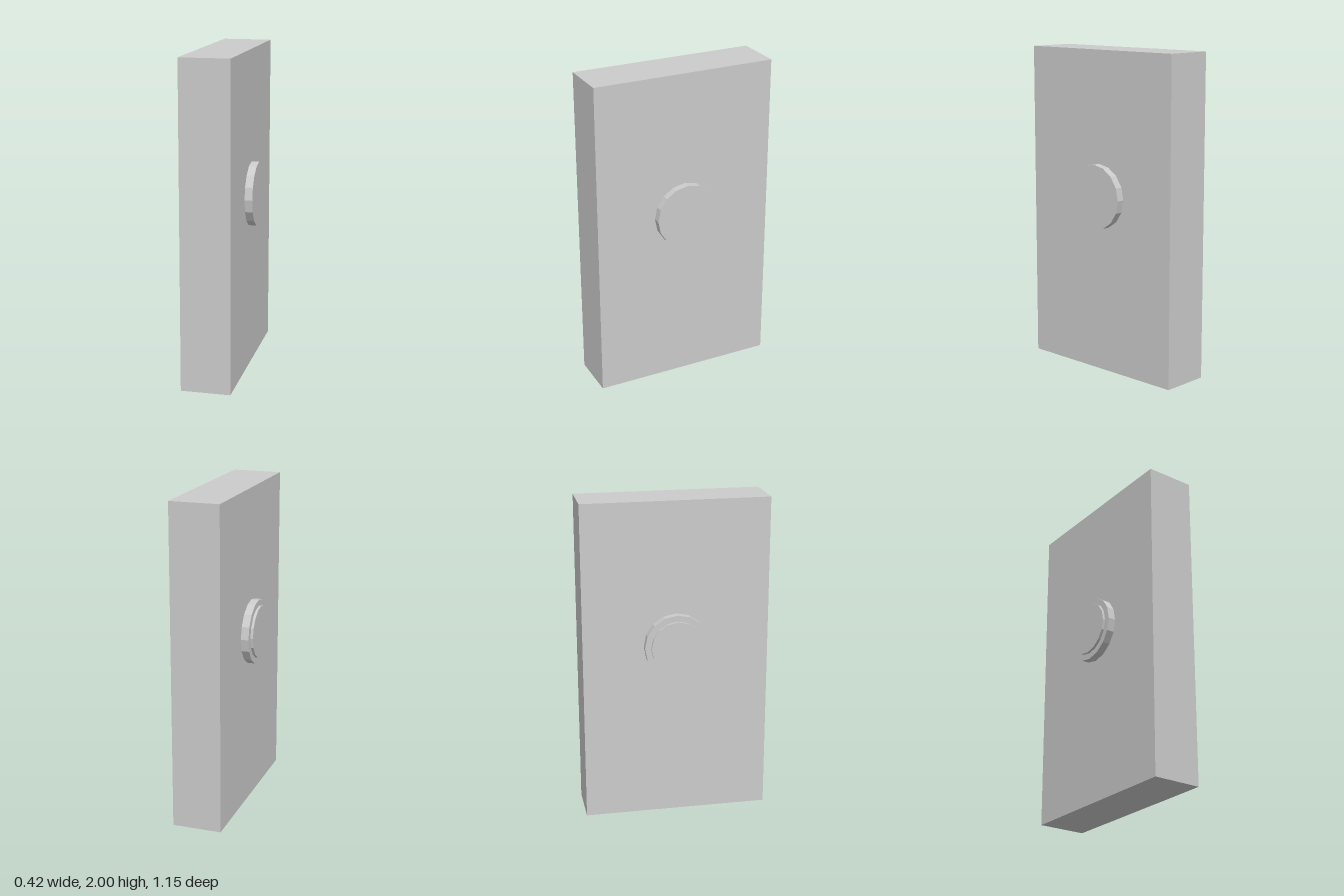
import * as THREE from 'three';

const HUB_Y = 1.107;

export function createModel() {
  const model = new THREE.Group();
  const material = new THREE.MeshStandardMaterial({ color: 0xcccccc, flatShading: true });

  function addPart(name, geometry, x, y) {
    const mesh = new THREE.Mesh(geometry, material);
    mesh.name = name;
    mesh.position.set(x, y, 0);
    model.add(mesh);
  }

  // 16-sided disc lying along the x axis, spanning x0 to x1
  function addDisc(name, radius, x0, x1) {
    const geometry = new THREE.CylinderGeometry(radius, radius, x1 - x0, 16);
    geometry.rotateZ(Math.PI / 2);
    addPart(name, geometry, (x0 + x1) / 2, HUB_Y);
  }

  // Upright slab
  addPart('slab', new THREE.BoxGeometry(0.306, 2, 1.15), 0.007, 1);

  // Round boss on each face, with a smaller raised cap on the right one
  addDisc('leftBoss', 0.201, 0.16, 0.208);
  addDisc('rightBoss', 0.201, -0.194, -0.146);
  addDisc('rightCap', 0.163, -0.21, -0.194);

  return model;
}
